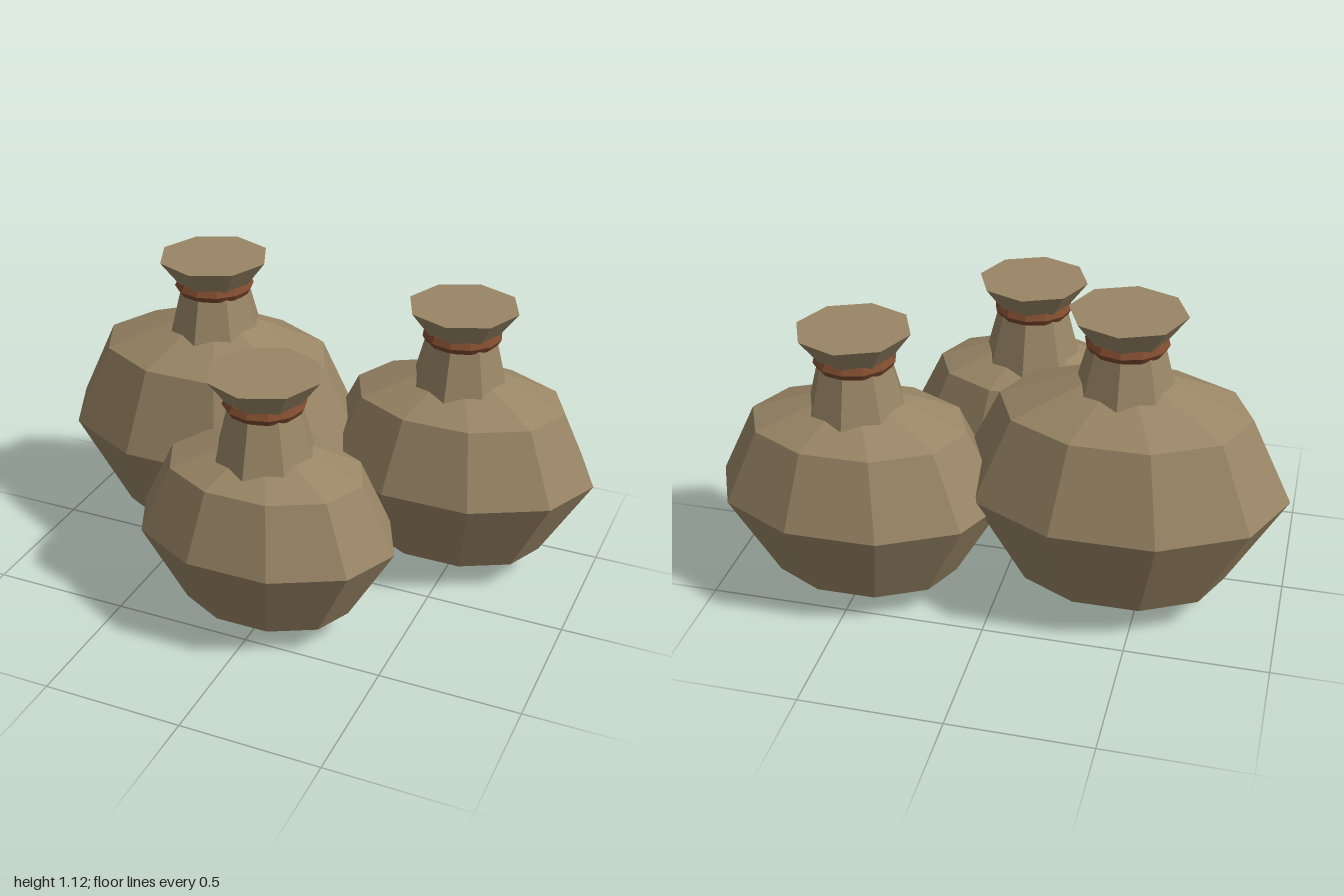
import * as THREE from 'three';

const cloth = new THREE.MeshStandardMaterial({ color: 0x9a8666, flatShading: true });
const cord = new THREE.MeshStandardMaterial({ color: 0x7d4a2e, flatShading: true });

// Ten-sided bulging profile: [radius, height], in units of the belly size
const PROFILE = [[0, 0], [0.655, 0.255], [1, 1], [0.75, 1.64], [0, 2]]
  .map(([r, y]) => new THREE.Vector2(r, y));

function part(name, geometry, material, y = 0) {
  const mesh = new THREE.Mesh(geometry, material);
  mesh.name = name;
  mesh.position.y = y;
  return mesh;
}

// One tied sack; belly = height of the widest ring, tieY = height of the cord
function makeSack(name, x, z, rx, rz, belly, tieY) {
  const sack = new THREE.Group();
  sack.name = name;
  sack.position.set(x, 0, z);

  // Oval body with corners on the x axis
  const body = new THREE.LatheGeometry(PROFILE, 10, Math.PI / 2).scale(rx, belly, rz);
  sack.add(part('body', body, cloth));

  // Gathered neck, cord and flared closed mouth
  sack.add(part('neck', new THREE.CylinderGeometry(0.127, 0.19, 0.24, 8), cloth, tieY - 0.12));
  sack.add(part('cord', new THREE.TorusGeometry(0.118, 0.025, 6, 12).rotateX(Math.PI / 2), cord, tieY));
  sack.add(part('mouth', new THREE.CylinderGeometry(0.2, 0.12, 0.107, 8), cloth, tieY + 0.0535));
  return sack;
}

export function createModel() {
  const model = new THREE.Group();
  model.name = 'sacks';
  model.add(
    makeSack('largeSack', -0.42, -0.165, 0.58, 0.415, 0.47, 1.018),
    makeSack('mediumSack', 0.48, -0.312, 0.517, 0.37, 0.415, 0.923),
    makeSack('smallSack', 0.01, 0.335, 0.473, 0.338, 0.38, 0.866),
  );
  return model;
}
